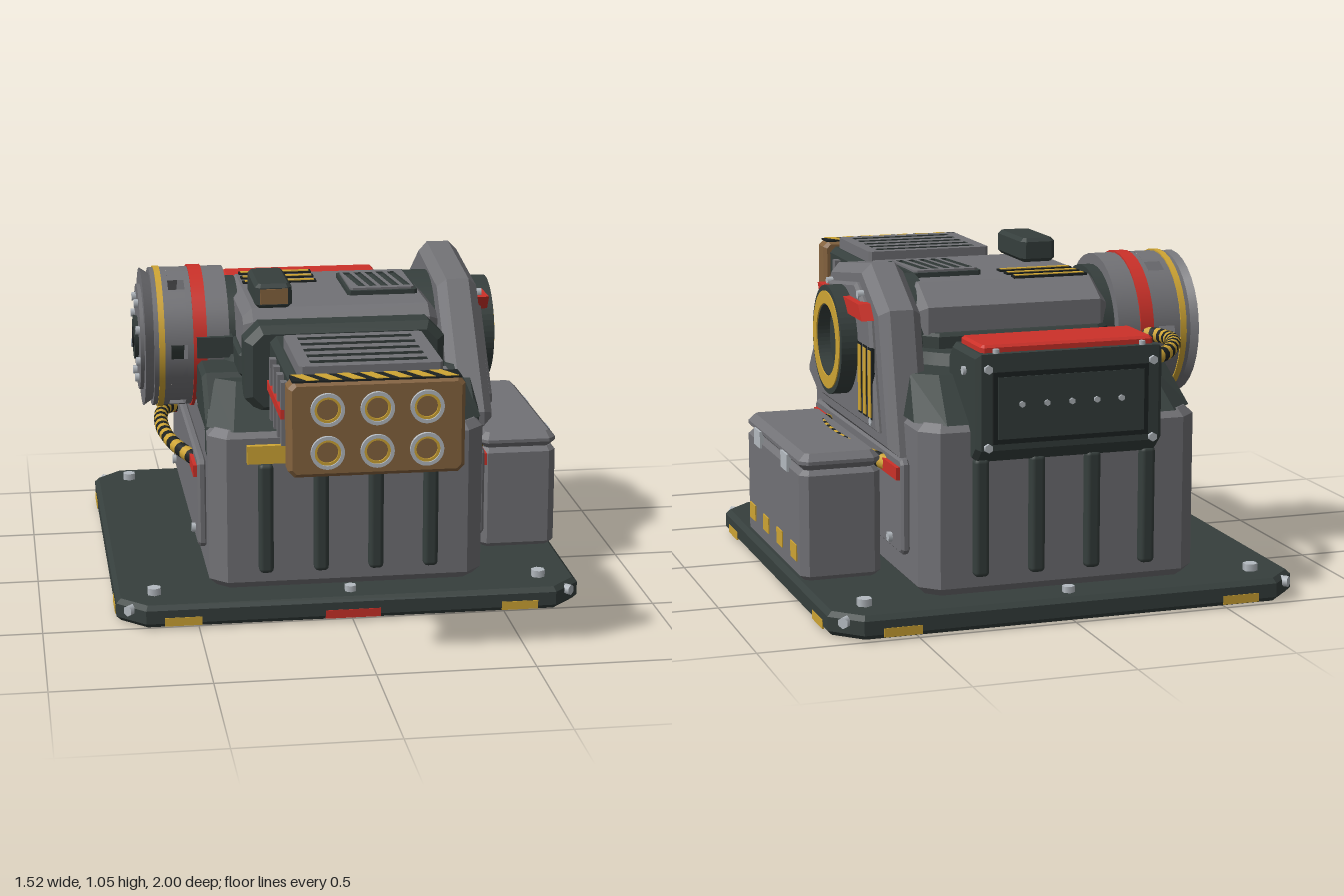
import * as THREE from 'three';
import { RoundedBoxGeometry } from 'three/addons/geometries/RoundedBoxGeometry.js';

const paint = (name, color, side = THREE.FrontSide) => {
  const m = new THREE.MeshStandardMaterial({ color, side });
  m.name = name;
  return m;
};
const V = (x, y, z) => new THREE.Vector3(x, y, z);

export function createModel() {
  const root = new THREE.Group();
  const grey = paint('steelGrey', 0x727276, THREE.DoubleSide), dark = paint('darkGreenGrey', 0x363f3d);
  const black = paint('black', 0x1d2222), light = paint('lightMetal', 0xb4bac0);
  const yellow = paint('yellow', 0xcfa534), red = paint('red', 0xcc3129), brown = paint('brown', 0x86643f);
  const CZ = -0.24; // middle of the base and body

  const add = (name, geo, mat, x = 0, y = 0, z = 0, parent = root) => {
    const m = new THREE.Mesh(geo, mat);
    m.name = name;
    m.position.set(x, y, z);
    parent.add(m);
    return m;
  };
  const box = (w, h, d) => new THREE.BoxGeometry(w, h, d);
  const poly = pts => new THREE.Shape(pts.map(p => new THREE.Vector2(p[0], p[1])));
  const chamfered = (w, h, c) => {
    const a = w / 2, b = h / 2;
    return poly([[c - a, -b], [a - c, -b], [a, c - b], [a, b - c], [a - c, b], [c - a, b], [-a, b - c], [-a, c - b]]);
  };
  // extrusion along z from 0 to depth, bevel kept inside the outline
  const extrude = (shape, depth, bevel = 0) => new THREE.ExtrudeGeometry(shape, {
    depth: depth - 2 * bevel, bevelEnabled: bevel > 0, bevelSize: bevel, bevelThickness: bevel,
    bevelOffset: -bevel, bevelSegments: 1, curveSegments: 28 }).translate(0, 0, bevel);
  const slab = (w, d, h, c, bevel) => extrude(chamfered(w, d, c), h, bevel).rotateX(-Math.PI / 2);
  // (z, y) profile extruded from x = 0 to depth
  const sideProfile = (pts, depth, bevel) => extrude(poly(pts.map(([z, y]) => [-z, y])), depth, bevel).rotateY(Math.PI / 2);
  const ring = (ro, ri, depth) => {
    const s = new THREE.Shape().absarc(0, 0, ro, 0, Math.PI * 2);
    s.holes.push(new THREE.Path().absarc(0, 0, ri, 0, Math.PI * 2, true));
    return extrude(s, depth);
  };
  const cylX = (rLeft, rRight, x0, x1, n = 32, open = false, start = 0, len = Math.PI * 2) =>
    new THREE.CylinderGeometry(rLeft, rRight, x1 - x0, n, 1, open, start, len).rotateZ(-Math.PI / 2).translate((x0 + x1) / 2, 0, 0);
  const bolt = (axis, x, y, z, r = 0.014, h = 0.02, mat = light, parent = root) => {
    const g = new THREE.CylinderGeometry(r, r, h, 6);
    if (axis === 'x') g.rotateZ(Math.PI / 2);
    if (axis === 'z') g.rotateX(Math.PI / 2);
    return add('bolt', g, mat, x, y, z, parent);
  };
  // grey panel in the xy plane with slots through to a coloured backing
  const ventPanel = (name, w, h, d, slots) => {
    const g = new THREE.Group();
    g.name = name;
    const face = chamfered(w - 0.01, h - 0.01, 0.005), rim = chamfered(w, h, 0.01);
    for (const [x, y, sw, sh, lean = 0] of slots) face.holes.push(new THREE.Path([[-1, -1], [-1, 1], [1, 1], [1, -1]].map(
      ([a, b]) => new THREE.Vector2(x + a * sw / 2 + b * lean, y + b * sh / 2))));
    rim.holes.push(chamfered(w - 0.012, h - 0.012, 0.005));
    add('slottedFace', extrude(face, d), [grey, dark], 0, 0, 0, g);
    add('rim', extrude(rim, d), grey, 0, 0, 0, g);
    add('ventBacking', box(w - 0.02, h - 0.02, 0.006), yellow, 0, 0, d * 0.35, g);
    root.add(g);
    return g;
  };
  // striped hose: alternate rings of the tube change colour
  const hose = (pts, r) => {
    const n = 48, sides = 10;
    const g = new THREE.TubeGeometry(new THREE.CatmullRomCurve3(pts), n, r, sides);
    for (let i = 0; i < n; i += 2) g.addGroup(i * sides * 6, 2 * sides * 6, (i / 2) % 2);
    return add('hose', g, [black, yellow]);
  };

  // base plate with corner bolts, edge marks and underside fittings
  add('basePlate', slab(1.52, 1.516, 0.074, 0.09, 0.015), dark, 0, 0.004, CZ);
  for (const sx of [-1, 1]) for (const sz of [-1, 1]) {
    bolt('y', sx * 0.635, 0.088, CZ + sz * 0.635, 0.024, 0.026);
    const lug = bolt('z', sx * 0.717, 0.055, CZ + sz * 0.713, 0.018, 0.03);
    lug.rotation.y = sx * sz * Math.PI / 4;
    add('baseMark', box(0.12, 0.028, 0.006), yellow, sx * 0.55, 0.024, CZ + sz * 0.757);
    add('baseMark', box(0.006, 0.028, 0.12), yellow, sx * 0.759, 0.024, CZ + sz * 0.555);
    add('undersideHole', new THREE.CylinderGeometry(0.04, 0.04, 0.006, 16), black, sx * 0.48, 0.005, CZ + sz * 0.48);
  }
  for (const s of [-1, 1]) bolt('y', 0, 0.086, CZ + s * 0.69, 0.02, 0.024);
  add('frontRedMark', box(0.18, 0.028, 0.006), red, 0, 0.024, 0.517);
  add('undersideRing', ring(0.29, 0.25, 0.008).rotateX(-Math.PI / 2), yellow, 0, 0, CZ);
  add('undersideHub', new THREE.CylinderGeometry(0.1, 0.09, 0.008, 24), light, 0, 0.004, CZ);

  // body, sloped deck and turntable
  add('body', slab(0.9, 1.28, 0.535, 0.055, 0.025), grey, 0, 0.08, CZ);
  const deck = slab(0.9, 1.26, 0.125, 0.08, 0), dp = deck.attributes.position;
  for (let i = 0; i < dp.count; i++) if (dp.getY(i) > 0.05) dp.setXYZ(i, dp.getX(i) * 0.93, dp.getY(i), dp.getZ(i) * 0.74);
  deck.computeVertexNormals();
  add('deck', deck, dark, 0, 0.61, CZ);
  add('turntable', new THREE.CylinderGeometry(0.42, 0.44, 0.045, 40), dark, 0, 0.75, CZ);
  for (const s of [-1, 1]) for (let i = 0; i < 4; i++)
    add('bodyRib', new RoundedBoxGeometry(0.048, 0.37, 0.06, 2, 0.015), dark, -0.27 + i * 0.18, 0.325, CZ + s * 0.64);
  add('frontYellowBar', box(0.66, 0.06, 0.03), yellow, 0, 0.54, 0.405);
  for (const s of [-1, 1]) {
    const panel = slab(1.01, 0.3, 0.03, 0.015, 0.008).rotateX(Math.PI / 2).rotateY(s * Math.PI / 2);
    add('sidePanel', panel, grey, s * 0.447, 0.335, CZ);
    for (const z of [0.155, -0.635]) {
      bolt('x', s * 0.48, 0.22, z, 0.016);
      add('hoseMount', box(0.03, 0.04, 0.18), red, s * 0.474, 0.44, z - 0.005);
    }
    hose([V(s * 0.47, 0.44, 0.1), V(s * 0.53, 0.46, -0.02), V(s * 0.555, 0.465, CZ), V(s * 0.53, 0.46, -0.46), V(s * 0.47, 0.44, -0.58)], 0.024);
    add('frontShoulder', sideProfile([[0.33, 0.5], [0.29, 0.63], [0.16, 0.75], [-0.1, 0.75], [-0.1, 0.61], [0.2, 0.5]], 0.15, 0.015),
      dark, s > 0 ? 0.3 : -0.45);
  }

  // ammunition box on the left side
  add('ammoBox', slab(0.26, 0.705, 0.35, 0.025, 0.015), grey, 0.625, 0.085, -0.243);
  add('ammoLid', slab(0.26, 0.705, 0.055, 0.025, 0.022), grey, 0.625, 0.432, -0.243);
  for (const z of [-0.06, -0.41]) add('latch', box(0.014, 0.055, 0.08), light, 0.755, 0.433, z);
  for (let i = 0; i < 4; i++) add('ammoMark', box(0.006, 0.052, 0.072), yellow, 0.756, 0.165, 0.03 - i * 0.178);

  // turret housing, roof details and sensor
  add('turret', sideProfile([[0.22, 0.68], [0.22, 0.93], [0.17, 0.965], [-0.34, 0.965], [-0.45, 0.9], [-0.45, 0.68]], 0.64, 0.03), grey, -0.315);
  add('turretFoot', slab(0.66, 0.72, 0.08, 0.06, 0.01), dark, 0, 0.74, -0.12);
  add('mantlet', extrude(chamfered(0.65, 0.29, 0.05), 0.13, 0.025), dark, 0, 0.795, 0.205);
  for (let i = 0; i < 3; i++) {
    add('roofSlotFrame', box(0.25, 0.008, 0.034), black, -0.15, 0.967, -0.335 + i * 0.07);
    add('roofSlot', box(0.235, 0.009, 0.02), yellow, -0.15, 0.969, -0.335 + i * 0.07);
  }
  add('roofVentFrame', slab(0.235, 0.285, 0.02, 0.01, 0), dark, 0.168, 0.96, -0.105);
  const roofVent = ventPanel('roofVent', 0.215, 0.262, 0.016,
    [0, 1, 2, 3, 4].map(i => [-0.076 + i * 0.038, 0, 0.024, 0.21, -0.012]));
  roofVent.rotation.x = -Math.PI / 2;
  roofVent.position.set(0.168, 0.971, -0.105);
  add('sensor', slab(0.12, 0.26, 0.08, 0.015, 0.012), dark, -0.215, 0.968, 0.07);
  add('sensorLens', box(0.09, 0.05, 0.008), brown, -0.215, 1.008, 0.2);

  // launcher barrel with cooling panels
  add('barrel', extrude(chamfered(0.49, 0.26, 0.02), 0.65, 0.01), dark, 0, 0.78, 0.26);
  const barrelVent = ventPanel('barrelVent', 0.44, 0.395, 0.04, [0, 1, 2, 3, 4].map(i => [0, 0.145 - i * 0.072, 0.36, 0.032]));
  barrelVent.rotation.x = -Math.PI / 2;
  barrelVent.position.set(0, 0.908, 0.675);
  add('underPlate', slab(0.34, 0.335, 0.055, 0.03, 0.01), grey, 0, 0.575, 0.588);
  add('underPlateHanger', box(0.24, 0.04, 0.25), dark, 0, 0.64, 0.588);
  add('underPlateMark', box(0.18, 0.028, 0.006), red, 0, 0.603, 0.757);
  for (const s of [-1, 1]) {
    for (let i = 0; i < 4; i++) add('barrelRib', box(0.03, 0.2, 0.032), grey, s * 0.25, 0.78, 0.78 - i * 0.094);
    add('barrelStripe', box(0.012, 0.03, 0.355), red, s * 0.262, 0.78, 0.622);
  }

  // muzzle block with striped roof and six tubes
  add('muzzleBlock', extrude(chamfered(0.535, 0.295, 0.02), 0.085, 0.012), brown, 0, 0.782, 0.903);
  add('hazardPlate', box(0.51, 0.006, 0.075), black, 0, 0.93, 0.945);
  for (let i = 0; i < 7; i++) {
    const x = -0.25 + i * 0.07;
    add('hazardStripe', extrude(poly([[x, 0.036], [x + 0.036, 0.036], [x + 0.076, -0.036], [x + 0.04, -0.036]]), 0.005).rotateX(-Math.PI / 2),
      yellow, 0, 0.93, 0.945);
  }
  for (const y of [0.845, 0.713]) for (const x of [-0.15, 0, 0.15]) {
    add('muzzleRing', ring(0.051, 0.04, 0.02), light, x, y, 0.98);
    add('muzzleBand', ring(0.041, 0.032, 0.014), yellow, x, y, 0.98);
    add('muzzleBore', new THREE.CircleGeometry(0.034, 20), black, x, y, 0.987);
  }

  // armoured cheek with round port on the left
  const cheek = [[0.28, 0.57], [0.28, 0.615], [-0.03, 0.995], [-0.41, 1.045], [-0.61, 0.925], [-0.71, 0.485], [0.1, 0.485]];
  add('cheek', sideProfile(cheek, 0.135, 0.03), grey, 0.365);
  const inner = cheek.map(([z, y]) => [CZ + (z - CZ) * 0.8, 0.76 + (y - 0.76) * 0.78]);
  add('cheekPanel', sideProfile(inner, 0.03, 0.01), grey, 0.487);
  add('cheekMount', cylX(0.2, 0.2, 0.28, 0.37), dark, 0, 0.78, CZ);
  add('cheekStripe', sideProfile([[-0.02, 0.972], [-0.5, 0.972], [-0.54, 0.925], [-0.05, 0.925]], 0.045), red, 0.495, -0.04, 0);
  const port = (name, ro, ri, d, mat, x) => add(name, ring(ro, ri, d).rotateY(Math.PI / 2), mat, x, 0.78, CZ);
  port('portCollar', 0.175, 0.112, 0.075, dark, 0.495);
  port('portBand', 0.157, 0.116, 0.006, yellow, 0.568);
  add('portGlass', cylX(0.114, 0.114, 0.5, 0.53), dark, 0, 0.78, CZ);
  for (let i = 0; i < 3; i++) {
    add('cheekSlotFrame', box(0.01, 0.225, 0.042), black, 0.514, 0.69, -0.44 - i * 0.056);
    add('cheekSlot', box(0.008, 0.21, 0.028), yellow, 0.518, 0.69, -0.44 - i * 0.056);
  }
  for (const [z, y] of [[0.05, 0.615], [-0.06, 0.94], [-0.55, 0.57], [-0.42, 0.95]]) bolt('x', 0.51, y, z);

  // drum on the right, with six open windows
  const drum = new THREE.Group();
  drum.name = 'drum';
  drum.position.set(0, 0.78, CZ);
  root.add(drum);
  const part = (name, geo, mat) => add(name, geo, mat, 0, 0, 0, drum);
  part('drumInnerShell', cylX(0.235, 0.235, -0.48, -0.34), grey);
  part('drumRedBand', cylX(0.241, 0.241, -0.46, -0.415), red);
  for (let i = 0; i < 6; i++)
    part('drumWindowWall', cylX(0.235, 0.235, -0.535, -0.48, 6, true, i * Math.PI / 3 + 0.1, Math.PI / 3 - 0.2), grey);
  part('drumOuterShell', cylX(0.215, 0.235, -0.62, -0.59).scale(1, 1, 1), grey);
  part('drumOuterShell', cylX(0.235, 0.235, -0.59, -0.535), grey);
  part('drumYellowBand', cylX(0.24, 0.24, -0.575, -0.555), yellow);
  part('drumCore', cylX(0.09, 0.09, -0.55, -0.3), dark);
  part('drumCollar', cylX(0.2, 0.2, -0.345, -0.3), dark);
  part('drumCap', cylX(0.18, 0.18, -0.632, -0.615), grey);
  part('drumHub', cylX(0.07, 0.075, -0.645, -0.625, 24), dark);
  part('drumHubCentre', cylX(0.035, 0.035, -0.649, -0.64, 16), black);
  for (let i = 0; i < 8; i++) {
    const a = (i + 0.5) * Math.PI / 4;
    bolt('x', -0.636, 0.14 * Math.sin(a), 0.14 * Math.cos(a), 0.015, 0.02, light, drum);
  }
  add('drumBracket', box(0.12, 0.07, 0.05), dark, -0.39, 0.795, -0.015);
  hose([V(-0.28, 0.76, -0.8), V(-0.37, 0.77, -0.77), V(-0.46, 0.78, -0.64), V(-0.47, 0.78, -0.52), V(-0.41, 0.78, -0.44)], 0.024);

  // rear equipment box with red lid
  add('rearBox', sideProfile([[-0.66, 0.52], [-0.66, 0.79], [-0.7, 0.835], [-0.94, 0.835], [-0.94, 0.54], [-0.9, 0.5], [-0.8, 0.5]], 0.6, 0.015), dark, -0.3);
  add('rearLid', slab(0.555, 0.2, 0.032, 0.01, 0.008), red, 0, 0.826, -0.815);
  add('rearPanelFrame', box(0.5, 0.22, 0.012), black, 0, 0.67, -0.94);
  add('rearPanel', box(0.47, 0.19, 0.012), dark, 0, 0.67, -0.943);
  for (let i = 0; i < 5; i++) bolt('z', -0.16 + i * 0.08, 0.68, -0.95, 0.01, 0.012);
  for (const s of [-1, 1]) {
    for (const y of [0.55, 0.79]) bolt('z', s * 0.265, y, -0.942);
    bolt('x', s * 0.3, 0.77, -0.83);
    bolt('y', s * 0.235, 0.838, -0.926, 0.01);
  }
  return root;
}
